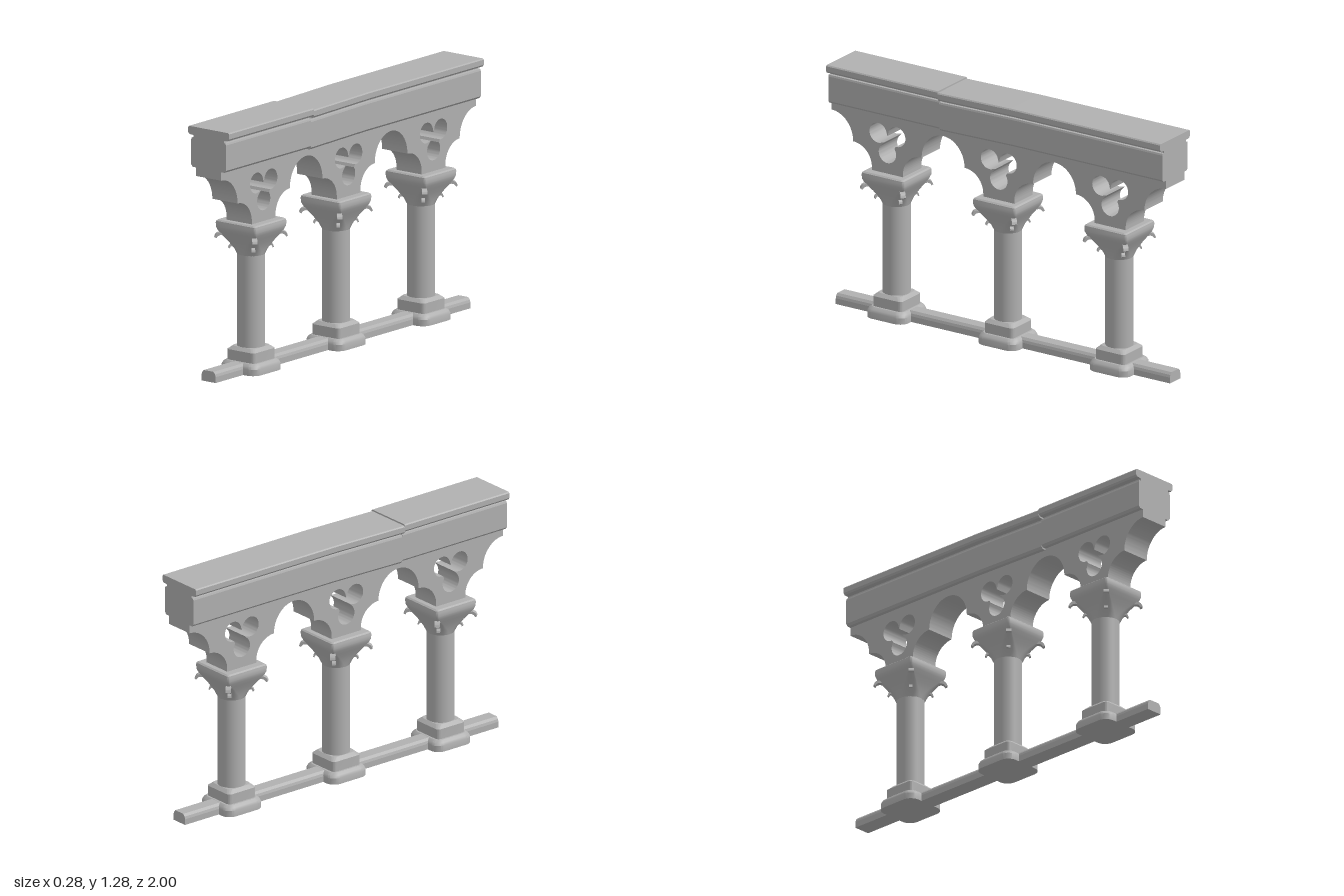
import * as THREE from 'three';
import { toCreasedNormals } from 'three/addons/utils/BufferGeometryUtils.js';

const BAY = 2 / 3;

// Stack of rounded-square rings [y, halfWidth, cornerRadius], closed at both ends
function loftGeometry(sections, steps = 7) {
  const pos = [], index = [];
  const n = 4 * (steps + 1);
  for (const [y, h, r] of sections) {
    for (let c = 0; c < 4; c++) {
      const mid = Math.PI / 4 + c * Math.PI / 2;
      const cx = Math.sign(Math.cos(mid)) * (h - r);
      const cz = Math.sign(Math.sin(mid)) * (h - r);
      for (let i = 0; i <= steps; i++) {
        const a = c * Math.PI / 2 + (i / steps) * Math.PI / 2;
        pos.push(cx + r * Math.cos(a), y, cz + r * Math.sin(a));
      }
    }
  }
  for (let s = 0; s < sections.length - 1; s++) {
    for (let i = 0; i < n; i++) {
      const a = s * n + i, b = s * n + (i + 1) % n;
      index.push(a, a + n, b, b, a + n, b + n);
    }
  }
  const top = (sections.length - 1) * n;
  for (let i = 1; i < n - 1; i++) {
    index.push(0, i, i + 1);
    index.push(top, top + i + 1, top + i);
  }
  const g = new THREE.BufferGeometry();
  g.setAttribute('position', new THREE.Float32BufferAttribute(pos, 3));
  g.setIndex(index);
  return toCreasedNormals(g, 0.5);
}

// Mirrored profile in x and y, swept from z0 to z1
function sweptProfile(half, z0, z1) {
  const pts = [
    ...half.map(([x, y]) => new THREE.Vector2(x, y)),
    ...half.slice().reverse().map(([x, y]) => new THREE.Vector2(-x, y)),
  ];
  const g = new THREE.ExtrudeGeometry(new THREE.Shape(pts), { depth: z1 - z0, bevelEnabled: false });
  return g.translate(0, 0, z0);
}

// One pier of the arcade: cusped half arches on both sides and a trefoil opening
function arcadeGeometry() {
  const w = BAY / 2, PI = Math.PI;
  const s = new THREE.Shape();
  s.moveTo(-0.093, 0.755);
  s.lineTo(0.093, 0.755);
  s.lineTo(0.093, 0.78);
  s.absarc(0.205, 0.78, 0.112, PI, PI / 2, true);
  s.absellipse(w, 0.892, w - 0.205, 0.14, PI, PI / 2, true);
  s.lineTo(w, 1.085);
  s.lineTo(-w, 1.085);
  s.absellipse(-w, 0.892, w - 0.205, 0.14, PI / 2, 0, true);
  s.absarc(-0.205, 0.78, 0.112, PI / 2, 0, true);
  s.closePath();

  const hole = new THREE.Path();
  const cy = 0.936, d = 0.064, r = 0.052, spread = 2.2;
  for (let i = 0; i < 3; i++) {
    const a = -PI / 2 + i * 2 * PI / 3;
    const cusp = [0.026 * Math.cos(a - PI / 3), cy + 0.026 * Math.sin(a - PI / 3)];
    if (i === 0) hole.moveTo(...cusp); else hole.lineTo(...cusp);
    hole.absarc(d * Math.cos(a), cy + d * Math.sin(a), r, a - spread, a + spread, false);
  }
  hole.closePath();
  s.holes.push(hole);

  const g = new THREE.ExtrudeGeometry(s, { depth: 0.16, bevelEnabled: false, curveSegments: 16 });
  g.translate(0, 0, -0.08).rotateY(-Math.PI / 2);
  return toCreasedNormals(g, 0.4);
}

// Curled leaf with a profile in (distance from axis, y)
function leafGeometry(points, width) {
  const s = new THREE.Shape();
  s.moveTo(...points[0]);
  s.splineThru(points.slice(1, 4).map(p => new THREE.Vector2(...p)));
  s.lineTo(...points[4]);
  s.splineThru(points.slice(5).map(p => new THREE.Vector2(...p)));
  s.closePath();
  const g = new THREE.ExtrudeGeometry(s, { depth: width, bevelEnabled: false, curveSegments: 5 });
  return toCreasedNormals(g.translate(0, 0, -width / 2), 0.6);
}

export function createModel() {
  const model = new THREE.Group();
  const stone = new THREE.MeshStandardMaterial({ color: 0xb0b0b0 });
  stone.name = 'grey stone';
  const add = (parent, name, geometry) => {
    const m = new THREE.Mesh(geometry, stone);
    m.name = name;
    parent.add(m);
    return m;
  };

  // Floor rail
  const rail = [[0.045, 0], [0.045, 0.03], [0.041, 0.043], [0.031, 0.055]];
  add(model, 'floorRail', sweptProfile(rail, -1, 1));

  // Moulded beam in three stones, the middle one slightly settled
  const beam = [
    [0.1, 1.075], [0.11, 1.086], [0.11, 1.215], [0.107, 1.224], [0.096, 1.226],
    [0.096, 1.237], [0.122, 1.239], [0.129, 1.248], [0.129, 1.274], [0.124, 1.28],
  ];
  add(model, 'frontBeam', sweptProfile(beam, BAY / 2, 1));
  add(model, 'backBeam', sweptProfile(beam, -1, -0.1));
  const middle = sweptProfile(beam, -0.1, BAY / 2);
  const p = middle.attributes.position;
  for (let i = 0; i < p.count; i++) {
    p.setY(i, p.getY(i) - 0.008 * (p.getZ(i) + 0.1) / (BAY / 2 + 0.1));
  }
  middle.computeVertexNormals();
  add(model, 'middleBeam', middle);

  // Shared geometry of the columns
  const parts = {
    plinth: loftGeometry([
      [0, 0.118, 0.05], [0.032, 0.118, 0.05], [0.045, 0.112, 0.048], [0.056, 0.098, 0.04],
    ]),
    baseBlock: loftGeometry([
      [0.05, 0.088, 0.02], [0.108, 0.088, 0.02], [0.125, 0.071, 0.03],
    ]),
    shaft: new THREE.CylinderGeometry(0.07, 0.07, 0.48, 40).translate(0, 0.36, 0),
    capital: loftGeometry([
      [0.59, 0.07, 0.07], [0.62, 0.078, 0.06], [0.66, 0.095, 0.04], [0.69, 0.111, 0.024],
      [0.71, 0.121, 0.016], [0.728, 0.127, 0.014], [0.75, 0.128, 0.014],
      [0.759, 0.126, 0.013], [0.765, 0.118, 0.01],
    ]),
    arcadePier: arcadeGeometry(),
  };
  const leaf = leafGeometry([
    [0.11, 0.675], [0.145, 0.687], [0.163, 0.684], [0.173, 0.672],
    [0.182, 0.677], [0.172, 0.695], [0.15, 0.702], [0.11, 0.695],
  ], 0.026);
  const smallLeaf = leafGeometry([
    [0.08, 0.622], [0.095, 0.629], [0.102, 0.627], [0.106, 0.618],
    [0.113, 0.621], [0.108, 0.634], [0.098, 0.64], [0.08, 0.636],
  ], 0.018);

  // Three columns, each with leaves under the corners of its capital
  for (let c = -1; c <= 1; c++) {
    const column = new THREE.Group();
    column.name = 'column';
    column.position.z = c * BAY;
    for (const [name, g] of Object.entries(parts)) add(column, name, g);
    for (let k = 0; k < 4; k++) {
      const turn = Math.PI / 4 + k * Math.PI / 2;
      add(column, 'cornerLeaf', leaf).rotation.y = turn;
      add(column, 'smallLeaf', smallLeaf).rotation.y = turn;
    }
    model.add(column);
  }
  return model;
}
